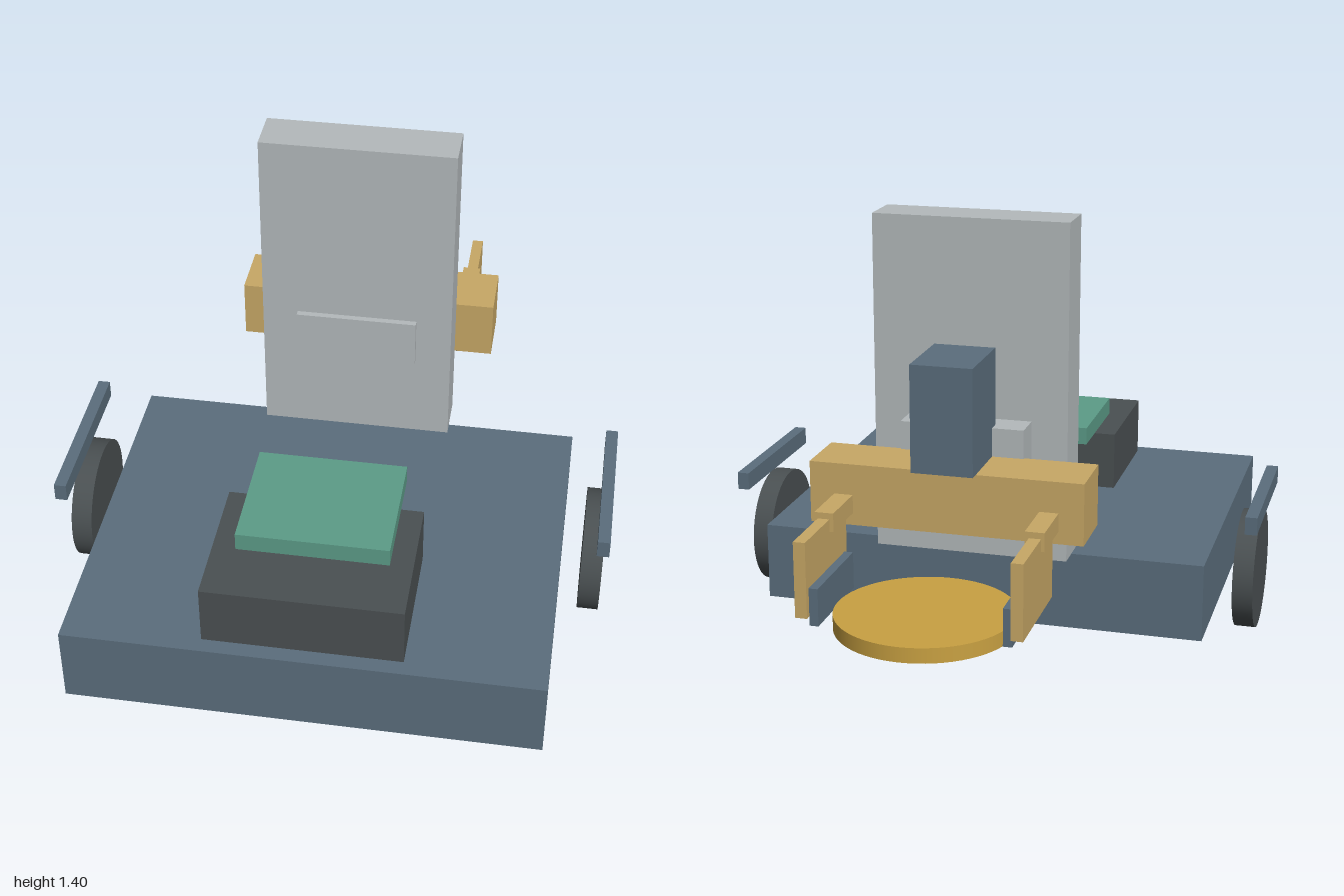
import * as THREE from 'three';

const material = (name, color) => {
  const m = new THREE.MeshStandardMaterial({ color });
  m.name = name;
  return m;
};

export function createModel() {
  const slate = material('slateBlue', 0x5b6e7d);
  const grey = material('lightGrey', 0xb4babc);
  const dark = material('charcoal', 0x4a5052);
  const tan = material('tan', 0xc8a866);
  const gold = material('gold', 0xc9a142);
  const green = material('green', 0x5c9c88);

  const model = new THREE.Group();
  model.name = 'liftingRobot';

  const add = (name, geometry, mat, x, y, z) => {
    const mesh = new THREE.Mesh(geometry, mat);
    mesh.name = name;
    mesh.position.set(x, y, z);
    model.add(mesh);
    return mesh;
  };
  // Box given by its extents along each axis
  const box = (name, mat, [x0, x1], [y0, y1], [z0, z1]) =>
    add(name, new THREE.BoxGeometry(x1 - x0, y1 - y0, z1 - z0), mat,
      (x0 + x1) / 2, (y0 + y1) / 2, (z0 + z1) / 2);

  // Base with battery and circuit board
  box('chassis', slate, [-0.72, 0.72], [0.08, 0.33], [-0.152, 1]);
  box('battery', dark, [-0.3, 0.3], [0.33, 0.523], [0.512, 0.952]);
  box('controlBoard', green, [-0.23, 0.23], [0.523, 0.58], [0.378, 0.76]);
  add('casterBall', new THREE.SphereGeometry(0.058, 32, 20), grey, 0, 0.058, 0.81);

  // Lift mast, carriage and gripper motor
  box('mast', grey, [-0.306, 0.306], [0.34, 1.4], [-0.248, -0.098]);
  box('carriage', grey, [-0.193, 0.193], [0.63, 0.783], [-0.346, -0.078]);
  box('gripperBeam', tan, [-0.421, 0.421], [0.503, 0.694], [-0.53, -0.338]);
  box('gripperMotor', slate, [-0.095, 0.095], [0.694, 1.023], [-0.56, -0.308]);

  // Carried disc
  add('disc', new THREE.CylinderGeometry(0.268, 0.268, 0.046, 64), gold, 0, 0.314, -0.732);

  // Mirrored wheels, guards and gripper fingers
  for (const [label, s] of [['left', 1], ['right', -1]]) {
    const span = (a, b) => (s > 0 ? [a, b] : [-b, -a]);
    add(label + 'Wheel', new THREE.CylinderGeometry(0.193, 0.193, 0.066, 48), dark,
      s * 0.817, 0.193, 0.232).rotation.z = Math.PI / 2;
    box(label + 'Guard', slate, span(0.827, 0.865), [0.405, 0.462], [-0.04, 0.498]);
    box(label + 'FingerArm', tan, span(0.287, 0.345), [0.541, 0.598], [-0.702, -0.53]);
    box(label + 'Finger', tan, span(0.299, 0.335), [0.349, 0.579], [-0.905, -0.56]);
    box(label + 'FingerPad', slate, span(0.272, 0.299), [0.321, 0.435], [-0.886, -0.58]);
  }
  return model;
}
